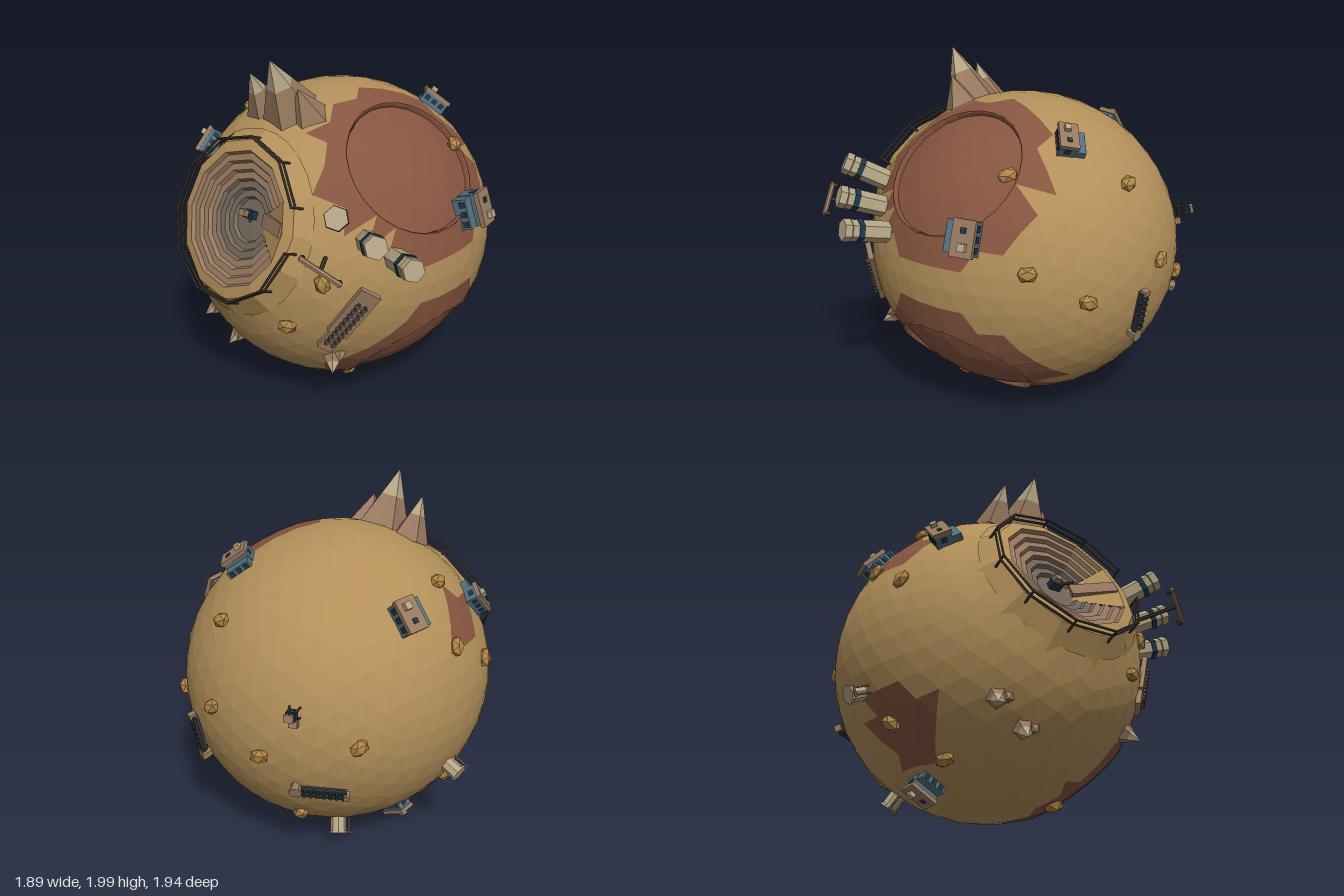
import * as THREE from 'three';

const V = (x, y, z) => new THREE.Vector3(x, y, z);
const C = V(-0.035, 0.9, -0.02), S = V(1, 1, 1.035), R = 0.882, UP = V(0, 1, 0);
const mat = (name, color) => {
  const m = new THREE.MeshStandardMaterial({ color });
  m.name = name;
  return m;
};

export function createModel() {
  const sand = mat('sand', 0xb3905a), rust = mat('rust', 0x875540), ochre = mat('ochre', 0xb08445),
    rock = mat('rock', 0x97795f), pale = mat('paleStone', 0xb5a586), grey = mat('pitGrey', 0x74675c),
    blue = mat('steelBlue', 0x55707c), navy = mat('navy', 0x1f3547), iron = mat('darkIron', 0x443c34);
  const root = new THREE.Group();
  root.name = 'miningPlanet';

  // Faceted mesh helper
  const add = (parent, name, geo, m, x = 0, y = 0, z = 0) => {
    const g = geo.index ? geo.toNonIndexed() : geo;
    g.computeVertexNormals();
    const mesh = new THREE.Mesh(g, m);
    mesh.name = name;
    mesh.position.set(x, y, z);
    parent.add(mesh);
    return mesh;
  };
  const box = (p, name, m, w, h, d, x, y, z) => add(p, name, new THREE.BoxGeometry(w, h, d), m, x, y, z);
  const bar = (p, name, m, a, b, r) => {
    const d = b.clone().sub(a);
    const o = add(p, name, new THREE.CylinderGeometry(r, r, d.length(), 6), m);
    o.position.copy(a).addScaledVector(d, 0.5);
    o.quaternion.setFromUnitVectors(UP, d.normalize());
    return o;
  };
  // Group standing on the globe: local y is outward, local z points along "toward"
  const site = (name, p, toward = V(1, 0, 0), lift = 0) => {
    const y = p.clone().sub(C).normalize();
    const z = toward.clone().addScaledVector(y, -toward.dot(y)).normalize();
    const g = new THREE.Group();
    g.name = name;
    g.quaternion.setFromRotationMatrix(new THREE.Matrix4().makeBasis(y.clone().cross(z), y, z));
    g.position.copy(p).sub(C).divide(S).setLength(R).multiply(S).add(C).addScaledVector(y, lift);
    root.add(g);
    return g;
  };

  // Globe with an opening for the pit, sunken craters and rust patches
  const globe = new THREE.Group();
  globe.name = 'globe';
  globe.position.copy(C);
  globe.scale.copy(S);
  root.add(globe);
  const hole = { n: V(-0.13, 0.34, 0.93).normalize(), t: 0.61 };
  const craters = [
    { n: V(0.69, 0.66, 0.14).normalize(), t: 0.45, patch: 0.59 },
    { n: V(0.72, -0.7, 0.1).normalize(), t: 0.465, patch: 0.61 }];
  const spots = [
    ...craters,
    { n: V(-0.74, 0.47, 0.15).normalize(), patch: 0.17 },
    { n: V(-0.74, -0.57, 0.14).normalize(), patch: 0.25 }];
  const ico = new THREE.IcosahedronGeometry(1, 7).getAttribute('position');
  const sandPos = [], rustPos = [];
  const snap = (v) => {
    for (const f of [hole, ...craters]) {
      if (Math.abs(v.angleTo(f.n) - f.t) < 0.082) {
        const side = v.clone().addScaledVector(f.n, -v.dot(f.n)).normalize();
        v.copy(f.n).multiplyScalar(Math.cos(f.t)).addScaledVector(side, Math.sin(f.t));
      }
    }
    return v;
  };
  for (let i = 0; i < ico.count; i += 3) {
    const tri = [0, 1, 2].map((k) => snap(V().fromBufferAttribute(ico, i + k).normalize()));
    const mid = V().add(tri[0]).add(tri[1]).add(tri[2]).normalize();
    if (mid.angleTo(hole.n) < hole.t) continue;
    const sunk = craters.some((f) => mid.angleTo(f.n) < f.t) ? 0.972 : 1;
    const wave = 0.04 * Math.sin(mid.x * 9 + mid.z * 11) * Math.cos(mid.y * 8);
    const out = spots.some((f) => mid.angleTo(f.n) < f.patch + wave) ? rustPos : sandPos;
    tri.forEach((v) => out.push(...v.multiplyScalar(R * sunk).toArray()));
  }
  for (const [name, pos, m] of [['sandGround', sandPos, sand], ['rustGround', rustPos, rust]]) {
    add(globe, name, new THREE.BufferGeometry().setAttribute('position', new THREE.Float32BufferAttribute(pos, 3)), m);
  }
  const lathe = (p, name, m, pts, seg, start = 0, sweep = Math.PI * 2) =>
    add(p, name, new THREE.LatheGeometry(pts.map(([r, y]) => new THREE.Vector2(r, y)), seg, start, sweep), m);
  for (const f of craters) {
    const s = R * Math.sin(f.t), c = R * Math.cos(f.t);
    lathe(globe, 'craterWall', rust, [[s + 0.006, c], [s, c + 0.006], [s - 0.006, c], [s * 0.962, c * 0.962]], 30)
      .quaternion.setFromUnitVectors(UP, f.n);
  }

  // Terraced open pit with a wedge-shaped way in
  const mine = site('openPit', V(-0.13, 0.385, 0.915).add(C));
  mine.position.set(-0.035, 0.87, 0);
  const deg = THREE.MathUtils.degToRad;
  const wide = [10, deg(28), deg(310)], wedge = [2, deg(-22), deg(50)];
  const steps = [];
  for (let i = 0; i < 6; i++) {
    const r = 0.375 - i * 0.049, d = 0.83 - i * 0.021;
    steps.push([r, d], [r - 0.012, d - 0.021]);
  }
  const apron = [[0.58, 0.65], [0.44, 0.815], [0.375, 0.83]];
  lathe(mine, 'pitApron', sand, apron, ...wide);
  lathe(mine, 'wedgeSlope', sand, [...apron, [0.12, 0.705]], ...wedge);
  lathe(mine, 'upperTerraces', rock, steps.slice(0, 7), ...wide);
  lathe(mine, 'lowerTerraces', grey, steps.slice(6), ...wide);
  lathe(mine, 'pitFloor', grey, [[0.16, 0.704], [0, 0.705]], 11);
  const ramp = box(mine, 'ramp', rock, 0.075, 0.04, 0.27, 0.03, 0.765, 0.24);
  ramp.rotation.x = -0.4;
  box(mine, 'excavatorBody', navy, 0.045, 0.045, 0.07, 0.03, 0.728, 0);
  box(mine, 'excavatorCab', rock, 0.035, 0.035, 0.045, 0.035, 0.765, -0.01);
  bar(mine, 'excavatorArm', iron, V(0.03, 0.74, 0.02), V(0.01, 0.79, 0.08), 0.009);
  // Guard rail with a gap on one side
  const ring = (i, h) => {
    const a = deg(22 + i * 33);
    return V(0.45 * Math.sin(a), h, 0.46 * Math.cos(a));
  };
  for (let i = 0; i <= 10; i++) {
    bar(mine, 'railPost', iron, ring(i, 0.78), ring(i, 0.868), 0.007);
    if (i < 10) for (const h of [0.832, 0.862]) bar(mine, 'railBar', iron, ring(i, h), ring(i + 1, h), 0.007);
  }

  // Pleated rock peaks with pale tips
  const peak = (p, r, h, x = 0, z = 0, capped = true) => {
    const pleat = (g) => {
      const a = g.getAttribute('position');
      for (let i = 0; i < a.count; i++) {
        const k = Math.round(Math.atan2(a.getX(i), a.getZ(i)) / (Math.PI / 5));
        const s = k % 2 ? 0.84 : 1.06;
        a.setXYZ(i, a.getX(i) * s, a.getY(i), a.getZ(i) * s);
      }
      return g;
    };
    const H = h + 0.05, low = H * 0.57;
    add(p, 'peakBody', pleat(new THREE.CylinderGeometry(r * 0.43, r, low, 10, 1)), rock, x, low / 2 - 0.05, z);
    add(p, 'peakTip', pleat(new THREE.ConeGeometry(r * 0.43, H - low, 10)), capped ? pale : rock, x, (H + low) / 2 - 0.05, z);
  };
  const range = site('mountain', V(-0.1, 2, 0.485));
  peak(range, 0.17, 0.33);
  peak(range, 0.11, 0.215, 0, -0.2);
  peak(range, 0.12, 0.16, 0, 0.12, false);
  for (const [x, y, z] of [[-0.5, 0.43, 0.59], [-0.33, 0.3, 0.6], [0.41, 0.46, 0.61]]) {
    const g = site('rockSpike', V(x, y, z));
    peak(g, 0.078, 0.1);
    peak(g, 0.055, 0.05, 0.025, 0.05, false);
  }

  // Ochre boulders
  [[0.45, 0.99, 0.75], [0.27, 0.7, 0.83], [-0.84, 1.28, -0.04], [-0.86, 1.11, 0.24], [-0.62, 1.55, 0.09],
    [-0.52, 0.21, 0.22], [-0.75, 0.385, 0.06], [0.23, 0.09, 0.24], [0.59, 1.48, -0.24], [0.73, 1.03, -0.42],
    [0.56, 0.86, -0.68], [0.185, 1.4, -0.74], [-0.68, 0.9, -0.68], [-0.2, 0.8, -0.89], [0.12, 0.98, -0.92],
    [-0.28, 0.34, -0.68]].forEach(([x, y, z], i) => {
    const g = site('boulder', V(x, y, z), V(Math.sin(i * 2.3), Math.cos(i * 2.3), 0.4));
    const b = add(g, 'boulderStone', new THREE.IcosahedronGeometry(0.046, 0), ochre, 0, 0.008, 0);
    b.scale.set(0.95, 0.8, 1.3);
    b.rotation.y = i;
  });

  // Hexagonal storage tanks
  for (const [x, y, z] of [[0.58, 1.42, 0.8], [0.75, 1.28, 0.71], [0.89, 1.15, 0.59]]) {
    const g = site('storageTank', V(x, y, z));
    add(g, 'tankBody', new THREE.CylinderGeometry(0.06, 0.06, 0.26, 6), pale, 0, 0.08, 0);
    add(g, 'tankBand', new THREE.CylinderGeometry(0.067, 0.067, 0.03, 6), navy, 0, 0.16, 0);
    add(g, 'tankLid', new THREE.CylinderGeometry(0.062, 0.064, 0.04, 6), pale, 0, 0.235, 0);
  }

  // Pylon with a cross beam
  bar(root, 'pylonPole', iron, V(0.42, 1.11, 0.68), V(0.585, 1.19, 0.93), 0.012);
  bar(root, 'pylonBeam', rock, V(0.49, 1.25, 0.97), V(0.68, 1.13, 0.89), 0.015);
  for (const p of [V(0.5, 1.245, 0.965), V(0.67, 1.135, 0.895)]) {
    bar(root, 'pylonWeight', iron, p, p.clone().add(V(-0.015, -0.008, -0.025)), 0.016);
  }

  // Blue buildings with flat brown roofs
  const house = (p, toward, s) => {
    const g = site('building', p, toward, -0.018);
    g.scale.setScalar(s);
    box(g, 'hall', blue, 0.17, 0.08, 0.1, 0, 0.02, 0.04);
    box(g, 'upperBlock', blue, 0.18, 0.11, 0.11, 0, 0.035, -0.03);
    box(g, 'roof', rock, 0.195, 0.028, 0.125, 0, 0.1, -0.03);
    box(g, 'roofHut', pale, 0.04, 0.03, 0.04, 0.045, 0.127, -0.04);
    box(g, 'roofVent', navy, 0.03, 0.008, 0.03, -0.04, 0.116, -0.03);
    for (const x of [-0.055, 0, 0.055]) {
      box(g, 'hallWindow', navy, 0.034, 0.035, 0.006, x, 0.035, 0.091);
      box(g, 'rearWindow', navy, 0.034, 0.035, 0.006, x, 0.055, -0.086);
    }
    for (const x of [-0.09, 0.09]) box(g, 'sideWindow', navy, 0.006, 0.035, 0.04, x, 0.055, -0.03);
  };
  house(V(-0.67, 1.48, -0.26), V(0.3, -0.4, 1), 0.95);
  house(V(-0.67, 1.37, 0.37), V(0.3, 0.5, 0.6), 0.85);
  house(V(0.315, 1.63, -0.47), V(-0.4, 0, -0.7), 0.85);
  house(V(0.82, 1.2, -0.1), V(0, 0, 1), 1);
  house(V(-0.45, 0.16, 0), V(0, 0.2, 1), 0.85);

  // Small round tanks with a frame
  for (const p of [V(-0.35, 0.19, -0.43), V(-0.84, 0.575, -0.08)]) {
    const g = site('waterTank', p, V(0, 0, 1));
    add(g, 'tankDrum', new THREE.CylinderGeometry(0.045, 0.045, 0.1, 8), pale, 0, 0.03, 0);
    add(g, 'drumLid', new THREE.CylinderGeometry(0.052, 0.052, 0.014, 8), pale, 0, 0.08, 0);
    for (const s of [-1, 1]) bar(g, 'frameLeg', rock, V(0.02 * s, -0.02, 0.07), V(0.02 * s, 0.085, 0.07), 0.006);
    bar(g, 'frameBeam', rock, V(-0.03, 0.085, 0.07), V(0.03, 0.085, 0.07), 0.007);
  }

  // Roller conveyors
  const rollers = (g, len, w, y, sideMat, rollMat) => {
    for (const s of [-1, 1]) box(g, 'conveyorSide', sideMat, 0.012, 0.022, len, s * w / 2, y, 0);
    const n = Math.round(len / 0.034);
    for (let i = 0; i < n; i++) {
      const z = (i + 0.5) * len / n - len / 2;
      bar(g, 'roller', rollMat, V(-w / 2 - 0.014, y + 0.004, z), V(w / 2 + 0.014, y + 0.004, z), 0.009);
    }
  };
  for (const [p, t] of [[V(-0.49, 0.62, -0.73), V(0.7, 0, -0.7)], [V(0.28, 0.74, -0.85), V(0, -1, 0)]]) {
    const g = site('conveyor', p, t);
    box(g, 'conveyorBelt', iron, 0.036, 0.02, 0.24, 0, 0.012, 0);
    rollers(g, 0.24, 0.044, 0.028, navy, iron);
    add(g, 'hopper', new THREE.CylinderGeometry(0.038, 0.026, 0.06, 6), rock, 0, 0.012, 0.15);
    box(g, 'driveBox', rock, 0.04, 0.04, 0.03, 0, 0.03, -0.12);
  }
  const yard = site('loadingRamp', V(0.53, 0.75, 0.66), V(-0.28, -0.42, 0.1));
  box(yard, 'rampPlate', rock, 0.12, 0.03, 0.32, 0, 0.005, -0.08);
  box(yard, 'rampFoot', rock, 0.085, 0.03, 0.14, 0, 0.002, 0.14);
  rollers(yard, 0.32, 0.04, 0.026, iron, grey);

  // Drill tower
  const rig = site('drillTower', V(-0.41, 1.1, -0.89), V(0, 1, 0));
  for (const [x, z] of [[1, 1], [1, -1], [-1, 1], [-1, -1]]) {
    bar(rig, 'towerLeg', iron, V(x * 0.03, -0.02, z * 0.03), V(x * 0.013, 0.1, z * 0.013), 0.006);
  }
  for (const h of [0.03, 0.075]) box(rig, 'towerBrace', navy, 0.05, 0.014, 0.05, 0, h, 0);
  box(rig, 'towerHead', rock, 0.05, 0.018, 0.04, 0, 0.103, 0);
  box(rig, 'engineBox', rock, 0.045, 0.04, 0.04, 0, 0.01, -0.055);

  return root;
}
